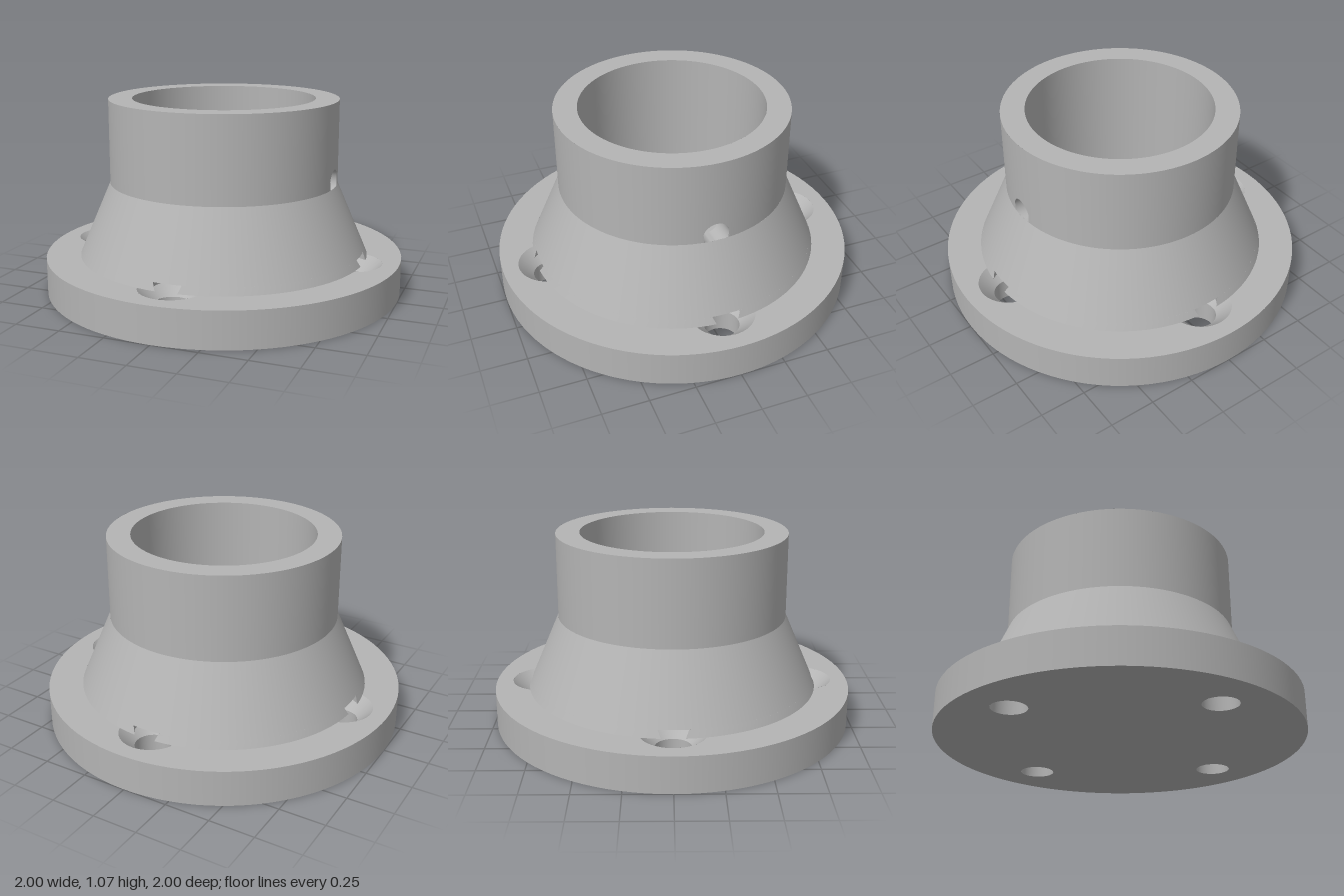
import * as THREE from 'three';
import { toCreasedNormals } from 'three/addons/utils/BufferGeometryUtils.js';

const SEG = 96;
const FLANGE = { r: 1, top: 0.2 };
const SCREW = { dist: 0.735, r: 0.095, headR: 0.175, sinkY: 0.12, topY: 0.24 };
const SLEEVE = { r: 0.635, bore: 0.505, bottom: 0.605, top: 1.07 };
const SIDE = { y: 0.635, r: 0.073, half: 0.12 };

// Radius of the tapered skirt at a height
const skirtRadius = (y) =>
  0.81 - ((y - FLANGE.top) * (0.81 - SLEEVE.r)) / (SLEEVE.bottom - FLANGE.top);

// Surface between two matching rows of 3D points
function wall(low, high, radial = false) {
  const pos = [];
  for (let i = 0; i < low.length - 1; i++) {
    for (const p of [low[i], high[i], low[i + 1], low[i + 1], high[i], high[i + 1]]) pos.push(...p);
  }
  const g = new THREE.BufferGeometry();
  g.setAttribute('position', new THREE.Float32BufferAttribute(pos, 3));
  g.computeVertexNormals();
  if (!radial) return toCreasedNormals(g, 0.6);
  const n = g.attributes.normal;
  const p = g.attributes.position;
  for (let i = 0; i < p.count; i++) {
    const l = Math.hypot(p.getX(i), p.getZ(i));
    n.setXYZ(i, p.getX(i) / l, 0, p.getZ(i) / l);
  }
  return g;
}

// Inner arc of a screw circle, clipped by a body of radius R, as [x, z]
function bite(R, r, n = 24) {
  const c = SCREW.dist;
  const x = (R * R + c * c - r * r) / (2 * c);
  const a = Math.atan2(Math.sqrt(R * R - x * x), x - c);
  return Array.from({ length: n + 1 }, (_, i) => {
    const t = -a - ((2 * Math.PI - 2 * a) * i) / n;
    return [c + r * Math.cos(t), r * Math.sin(t)];
  });
}

// Body outline with four bites taken out of it
function notchedOutline(y) {
  const R = skirtRadius(y);
  const b = bite(R, SCREW.r);
  const a = Math.atan2(b[24][1], b[24][0]);
  const pts = [];
  for (let q = 0; q < 4; q++) {
    const turn = (q * Math.PI) / 2;
    const c = Math.cos(turn), s = Math.sin(turn);
    for (const [x, z] of b) pts.push([x * c - z * s, y, x * s + z * c]);
    for (let i = 1; i < 24; i++) {
      const t = turn + a + ((Math.PI / 2 - 2 * a) * i) / 24;
      pts.push([R * Math.cos(t), y, R * Math.sin(t)]);
    }
  }
  pts.push(pts[0]);
  return pts;
}

// Arc of the side hole as [z, y]
const sideArc = (from, to, n = 24) =>
  Array.from({ length: n + 1 }, (_, i) => {
    const t = from + ((to - from) * i) / n;
    return [SIDE.r * Math.cos(t), SIDE.y + SIDE.r * Math.sin(t)];
  });

const onCylinder = (r, z, y) => [Math.sqrt(r * r - z * z), y, z];

// Curved patch from the side hole's edge to a straight edge at a height
function holePatch(r, arc, baseY, edgeY) {
  const edge = [[-SIDE.half, baseY], ...arc, [SIDE.half, baseY]];
  const low = edge.map(([z, y]) => onCylinder(r, z, y));
  const high = edge.map((_, i) =>
    onCylinder(r, -SIDE.half + (2 * SIDE.half * i) / (edge.length - 1), edgeY));
  return wall(low, high, true);
}

function tube(r0, r1, y0, y1, gap = 0, seg = SEG) {
  const g = new THREE.CylinderGeometry(r1, r0, y1 - y0, seg, 1, true,
    Math.PI / 2 + gap, 2 * Math.PI - 2 * gap);
  return g.translate(0, (y0 + y1) / 2, 0);
}

// Flat disc with four round holes
function drilledDisc(holeR, y, up) {
  const s = new THREE.Shape().absarc(0, 0, FLANGE.r, 0, 2 * Math.PI);
  for (let q = 0; q < 4; q++) {
    const t = (q * Math.PI) / 2;
    s.holes.push(new THREE.Path().absarc(
      SCREW.dist * Math.cos(t), SCREW.dist * Math.sin(t), holeR, 0, 2 * Math.PI, true));
  }
  return new THREE.ShapeGeometry(s, 48).rotateX(up ? -Math.PI / 2 : Math.PI / 2).translate(0, y, 0);
}

const ceiling = (pts, y) =>
  new THREE.ShapeGeometry(new THREE.Shape(pts.map(([x, z]) => new THREE.Vector2(x, z))))
    .rotateX(Math.PI / 2).translate(0, y, 0);

export function createModel() {
  const grey = new THREE.MeshStandardMaterial({ color: 0xb4b4b4, side: THREE.DoubleSide });
  grey.name = 'grey';
  const model = new THREE.Group();
  model.name = 'flangedSocket';
  const add = (name, geometry, parent = model) => {
    const m = new THREE.Mesh(geometry, grey);
    m.name = name;
    parent.add(m);
    return m;
  };

  // Round base flange
  add('flangeRim', tube(FLANGE.r, FLANGE.r, 0, FLANGE.top));
  add('flangeUnderside', drilledDisc(SCREW.r, 0, false));
  add('flangeTop', drilledDisc(SCREW.headR, FLANGE.top, true));

  // Countersunk screw holes
  const R = skirtRadius(FLANGE.top);
  const notchR = skirtRadius(SCREW.topY);
  for (let q = 0; q < 4; q++) {
    const hole = new THREE.Group();
    hole.name = 'screwHole';
    hole.rotation.y = (q * Math.PI) / 2;
    add('shaft', tube(SCREW.r, SCREW.r, 0, SCREW.sinkY, 0, 48).translate(SCREW.dist, 0, 0), hole);
    add('countersink', tube(SCREW.r, SCREW.headR, SCREW.sinkY, FLANGE.top, 0, 48)
      .translate(SCREW.dist, 0, 0), hole);
    add('countersinkCeiling',
      ceiling([...bite(R, SCREW.headR), ...bite(R, SCREW.r).reverse()], FLANGE.top), hole);
    add('notchCeiling', ceiling([...bite(notchR, SCREW.r), [notchR, 0]], SCREW.topY), hole);
    model.add(hole);
  }

  // Tapered skirt, notched at its foot
  add('skirtFoot', wall(notchedOutline(FLANGE.top), notchedOutline(SCREW.topY)));
  add('skirt', tube(notchR, SLEEVE.r, SCREW.topY, SLEEVE.bottom));

  // Sleeve with the side hole
  const dip = Math.asin((SIDE.y - SLEEVE.bottom) / SIDE.r);
  add('sleeve', tube(SLEEVE.r, SLEEVE.r, SLEEVE.bottom, SLEEVE.top, Math.asin(SIDE.half / SLEEVE.r)));
  add('sleeveHolePatch',
    holePatch(SLEEVE.r, sideArc(Math.PI + dip, -dip), SLEEVE.bottom, SLEEVE.top));
  add('sleeveRim', new THREE.RingGeometry(SLEEVE.bore, SLEEVE.r, SEG)
    .rotateX(-Math.PI / 2).translate(0, SLEEVE.top, 0));

  // Bore
  add('bore', tube(SLEEVE.bore, SLEEVE.bore, FLANGE.top, SLEEVE.top,
    Math.asin(SIDE.half / SLEEVE.bore)));
  add('boreHolePatchUpper', holePatch(SLEEVE.bore, sideArc(Math.PI, 0), SIDE.y, SLEEVE.top));
  add('boreHolePatchLower', holePatch(SLEEVE.bore, sideArc(Math.PI, 2 * Math.PI), SIDE.y, FLANGE.top));

  // Side hole tunnel and the lip that closes its lower edge
  const ring = sideArc(0, 2 * Math.PI, 48);
  add('sideHole', wall(ring.map(([z, y]) => onCylinder(SLEEVE.bore, z, y)),
    ring.map(([z, y]) => onCylinder(SLEEVE.r, z, y))));
  const lip = sideArc(Math.PI + dip, 2 * Math.PI - dip);
  add('sideHoleLip', wall(lip.map(([z, y]) => onCylinder(SLEEVE.r, z, y)),
    lip.map(([z]) => onCylinder(SLEEVE.r, z, SLEEVE.bottom))));

  return model;
}
